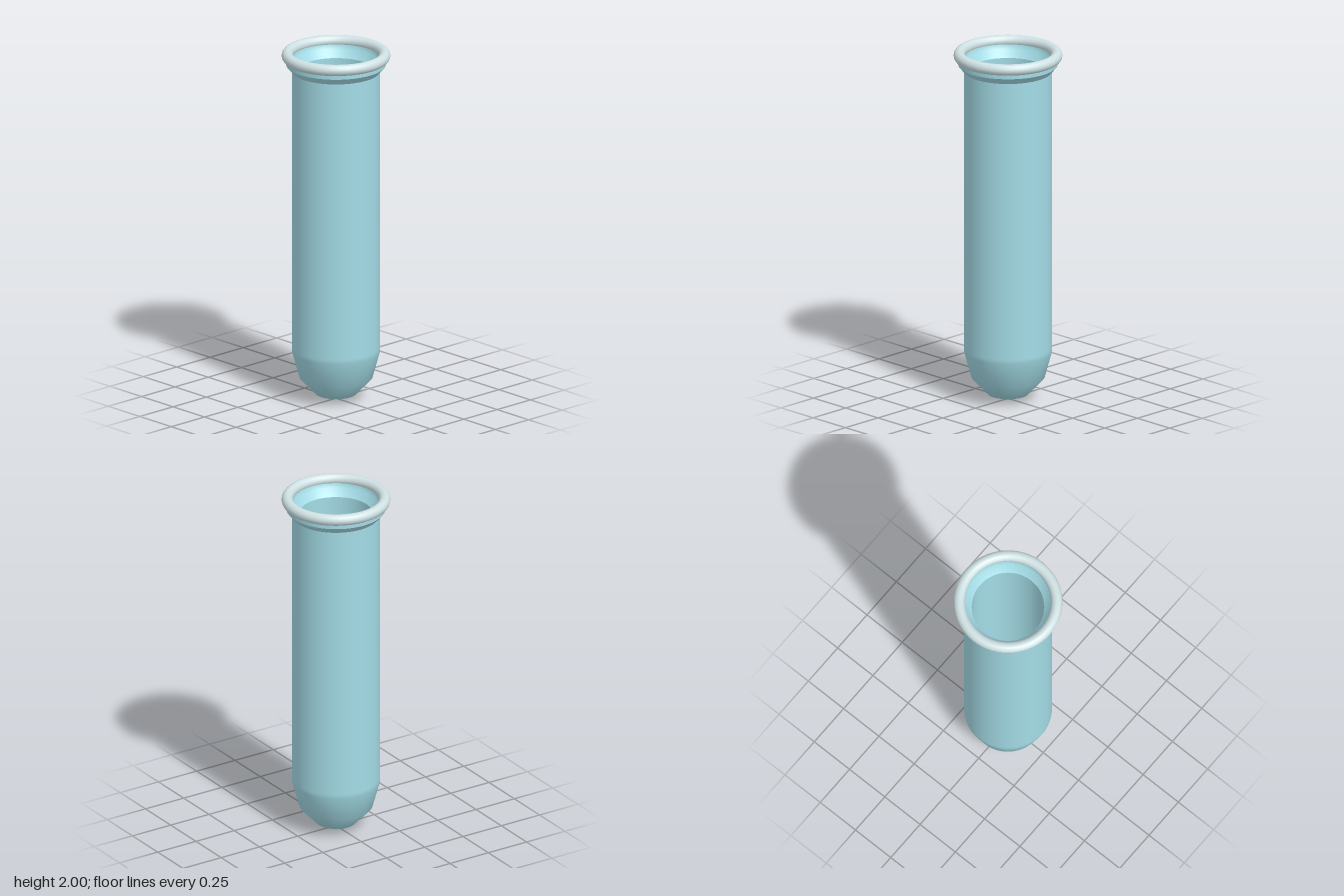
import * as THREE from 'three';

const SEGMENTS = 64;

export function createModel() {
  const glass = new THREE.MeshStandardMaterial({ color: 0xa3dbe5 });
  glass.name = 'paleBlueGlass';
  const rimGlass = new THREE.MeshStandardMaterial({ color: 0xcfe1e3 });
  rimGlass.name = 'paleGreyRim';

  const model = new THREE.Group();
  model.name = 'testTube';

  // Revolved surface from [radius, height] pairs
  const revolve = (name, profile) => {
    const points = profile.map(([r, y]) => new THREE.Vector2(r, y));
    const mesh = new THREE.Mesh(new THREE.LatheGeometry(points, SEGMENTS), glass);
    mesh.name = name;
    model.add(mesh);
  };

  // Outer wall with rounded foot
  revolve('outerWall', [
    [0, 0.005], [0.11, 0.035], [0.2, 0.13], [0.24, 0.275], [0.24, 0.3], [0.24, 1.88],
  ]);

  // Flared collar under the rim
  revolve('collarFlare', [[0.24, 1.88], [0.272, 1.917]]);
  revolve('collarBand', [[0.272, 1.917], [0.272, 1.96]]);

  // Inner funnel, bore and rounded floor, running downwards so they face inwards
  revolve('mouthFunnel', [[0.24, 1.96], [0.234, 1.93], [0.198, 1.89]]);
  revolve('innerWall', [
    [0.198, 1.89], [0.198, 0.3], [0.198, 0.28], [0.165, 0.16], [0.09, 0.08], [0, 0.055],
  ]);

  // Rolled rim
  const rim = new THREE.Mesh(new THREE.TorusGeometry(0.266, 0.031, 16, SEGMENTS), rimGlass);
  rim.name = 'rolledRim';
  rim.rotation.x = Math.PI / 2;
  rim.position.y = 1.969;
  model.add(rim);

  return model;
}
